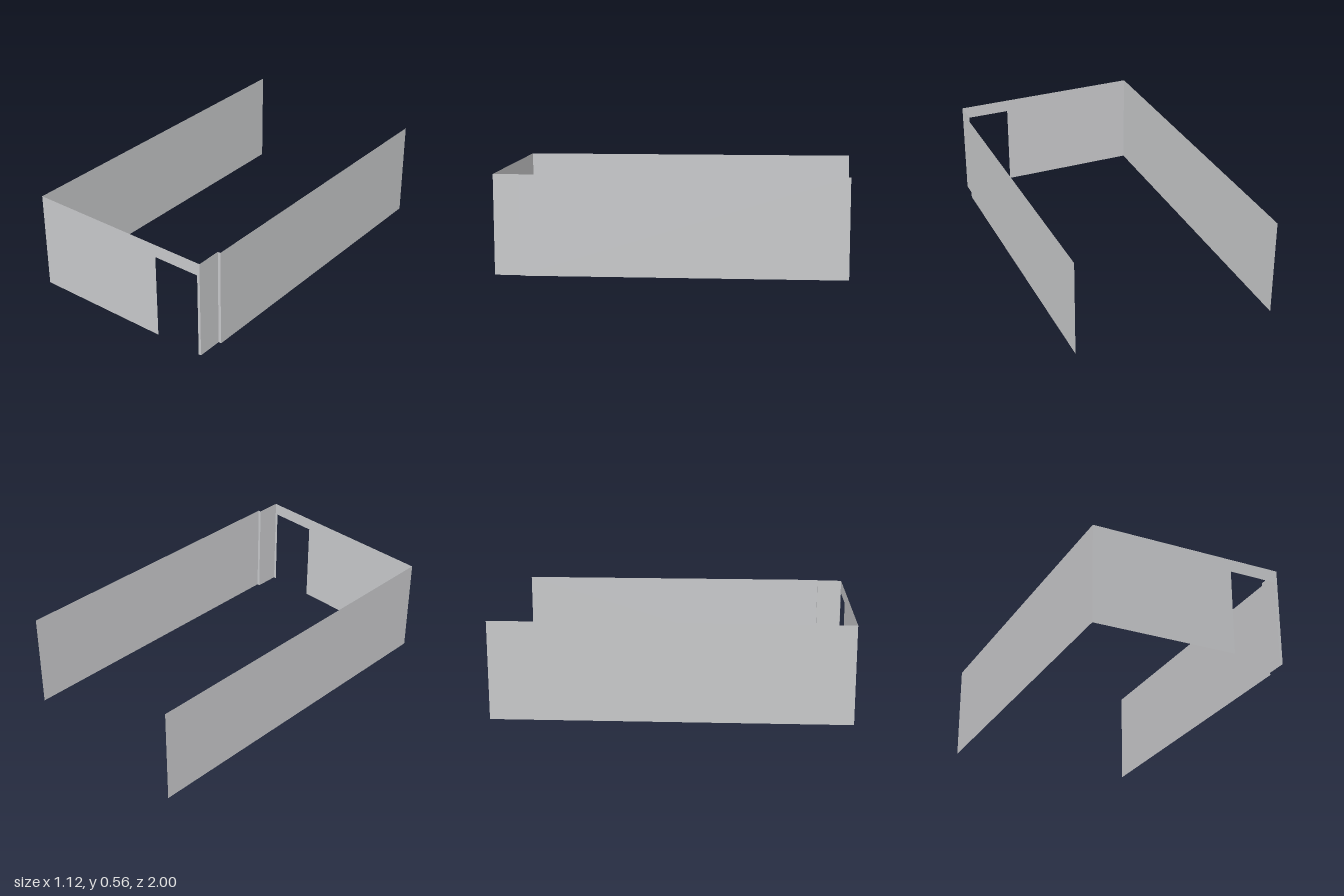
import * as THREE from 'three';

const HEIGHT = 0.56;

export function createModel() {
  const model = new THREE.Group();
  model.name = 'roomWalls';

  const wallGrey = new THREE.MeshStandardMaterial({ color: 0xc8c9cb, side: THREE.DoubleSide });
  wallGrey.name = 'wallGrey';

  const add = (name, geometry) => {
    const mesh = new THREE.Mesh(geometry, wallGrey);
    mesh.name = name;
    model.add(mesh);
  };

  // Sheet wall running along z at a fixed x, facing outwards
  const sideWall = (name, x, zFront, zBack) => {
    const g = new THREE.PlaneGeometry(zFront - zBack, HEIGHT);
    g.rotateY(Math.sign(x) * Math.PI / 2);
    g.translate(x, HEIGHT / 2, (zFront + zBack) / 2);
    add(name, g);
  };

  // Front wall, cut around the doorway
  const outline = [
    [-0.5625, 0], [0.253, 0], [0.253, 0.487], [0.53, 0.487],
    [0.53, 0], [0.546, 0], [0.546, HEIGHT], [-0.5625, HEIGHT],
  ].map(([x, y]) => new THREE.Vector2(x, y));
  const front = new THREE.ShapeGeometry(new THREE.Shape(outline));
  front.translate(0, 0, 1);
  add('frontWallWithDoorway', front);

  // Side walls
  sideWall('rightWall', -0.5625, 1, -1);
  sideWall('leftWallShortSection', 0.546, 1, 0.855);
  sideWall('leftWallLongSection', 0.5625, 0.855, -0.94);

  // Narrow step joining the two left wall sections
  const step = new THREE.PlaneGeometry(0.0165, HEIGHT);
  step.translate(0.55425, HEIGHT / 2, 0.855);
  add('leftWallStep', step);

  return model;
}
